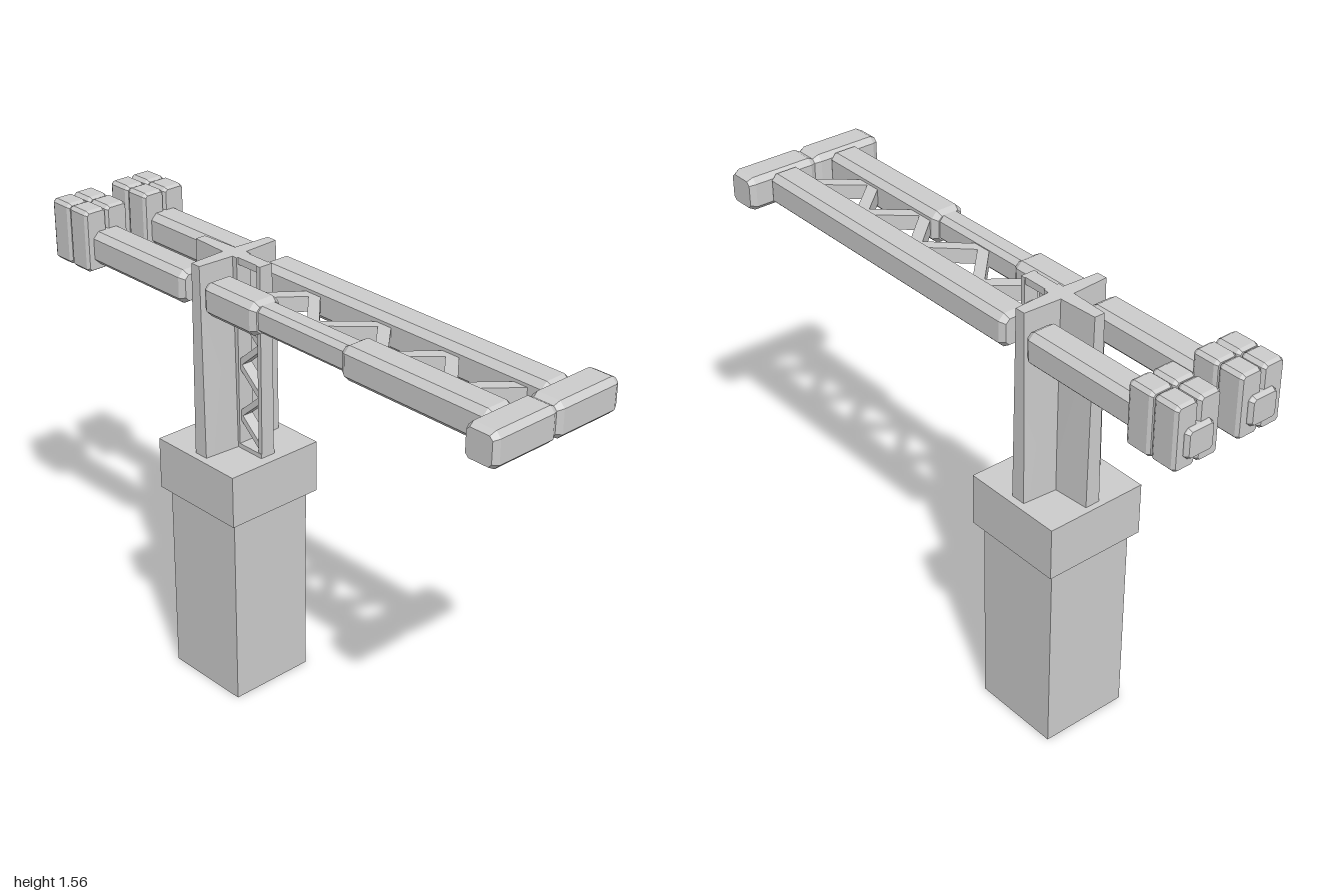
import * as THREE from 'three';

export function createModel() {
  const root = new THREE.Group();
  root.name = 'towerCrane';
  const grey = new THREE.MeshStandardMaterial({ color: 0xcccccc });
  grey.name = 'lightGrey';

  function add(name, geometry, x = 0, y = 0, z = 0) {
    const mesh = new THREE.Mesh(geometry, grey);
    mesh.name = name;
    mesh.position.set(x, y, z);
    root.add(mesh);
    return mesh;
  }

  // plain box from its limits
  function box(name, x0, x1, y0, y1, z0, z1) {
    return add(name, new THREE.BoxGeometry(x1 - x0, y1 - y0, z1 - z0),
      (x0 + x1) / 2, (y0 + y1) / 2, (z0 + z1) / 2);
  }

  // box with every edge chamfered, from its limits; axis is its long direction
  function chamfered(name, x0, x1, y0, y1, z0, z1, c, axis = 'x', endBevel = c) {
    const length = axis === 'x' ? x1 - x0 : z1 - z0;
    const w = (axis === 'x' ? z1 - z0 : x1 - x0) / 2;
    const h = (y1 - y0) / 2;
    const section = new THREE.Shape([
      [-w + c, -h], [w - c, -h], [w, -h + c], [w, h - c],
      [w - c, h], [-w + c, h], [-w, h - c], [-w, -h + c],
    ].map(([a, b]) => new THREE.Vector2(a, b)));
    const geometry = new THREE.ExtrudeGeometry(section, {
      depth: length - 2 * endBevel, bevelEnabled: true, bevelSegments: 1,
      bevelSize: c * 0.6, bevelOffset: -c * 0.6, bevelThickness: endBevel,
    });
    geometry.translate(0, 0, endBevel - length / 2);
    if (axis === 'x') geometry.rotateY(Math.PI / 2);
    return add(name, geometry, (x0 + x1) / 2, (y0 + y1) / 2, (z0 + z1) / 2);
  }

  // slanted bar as an extruded parallelogram; points are [u, v]
  function slab(points, depth) {
    const shape = new THREE.Shape(points.map(([a, b]) => new THREE.Vector2(a, b)));
    const geometry = new THREE.ExtrudeGeometry(shape, { depth, bevelEnabled: false });
    return geometry.translate(0, 0, -depth / 2);
  }

  // pedestal
  box('pedestal', -0.47, -0.155, 0, 0.69, -0.155, 0.155);
  box('pedestalCap', -0.493, -0.13, 0.685, 0.865, -0.18, 0.18);

  // mast: cross of plates, thinner towards the top and the outer edges
  const mastX = -0.312, mastBase = 0.86, mastTop = 1.52;
  const mastH = mastTop - mastBase;
  function taper(geometry, reach) {
    const p = geometry.attributes.position;
    for (let i = 0; i < p.count; i++) {
      const up = p.getY(i) / mastH + 0.5;
      const out = Math.abs(p.getX(i)) / reach;
      p.setZ(i, p.getZ(i) * (1 - 0.3 * up) * (1 - 0.3 * out));
    }
    geometry.computeVertexNormals();
    return geometry;
  }
  const midY = (mastBase + mastTop) / 2;
  const cross = taper(new THREE.BoxGeometry(0.31, mastH, 0.075, 2, 1, 1), 0.155);
  add('mastCrossPlate', cross.rotateY(Math.PI / 2), mastX, midY, 0);
  const rear = new THREE.BoxGeometry(0.16, mastH, 0.075).translate(-0.08, 0, 0);
  add('mastRearPlate', taper(rear, 0.16), mastX, midY, 0);

  // ladder rungs on the front of the rear plate
  for (let i = 0; i < 15; i++) {
    const y = 0.885 + i * 0.033;
    box('ladderRung', -0.435, -0.355, y, y + 0.018, 0.01, 0.034);
  }

  // open lattice on the jib side of the mast
  box('latticeInnerPost', -0.3, -0.268, mastBase, mastTop, -0.028, 0.028);
  box('latticeOuterPost', -0.181, -0.165, mastBase, mastTop, -0.025, 0.025);
  box('latticeTop', -0.285, -0.165, 1.497, mastTop, -0.022, 0.022);
  box('latticeFoot', -0.285, -0.165, mastBase, 0.88, -0.028, 0.028);
  const t = 0.013;
  for (let i = 0; i < 6; i++) {
    const a = 0.89 + i * 0.09, b = a + 0.09;
    const [l, r] = i % 2 ? [a, b] : [b, a];
    add('mastBrace', slab([[-0.275, l - t], [-0.172, r - t],
      [-0.172, r + t], [-0.275, l + t]], 0.04));
  }

  // jib beams; the front one has a slimmer middle section
  const y0 = 1.372, y1 = 1.482;
  chamfered('jibBeamBack', -0.265, 0.9, y0, y1, -0.177, -0.064, 0.02);
  chamfered('jibBeamFrontInner', -0.265, -0.03, y0, y1, 0.057, 0.17, 0.02);
  chamfered('jibBeamFrontSlim', -0.05, 0.355, 1.383, 1.471, 0.073, 0.152, 0.016);
  chamfered('jibBeamFrontOuter', 0.335, 0.9, y0, y1, 0.057, 0.17, 0.02);

  // zigzag bracing lying between the jib beams
  const nodes = [-0.145, -0.025, 0.13, 0.275, 0.41, 0.545, 0.68, 0.81];
  for (let i = 0; i < nodes.length - 1; i++) {
    const [back, front] = i % 2 ? [nodes[i], nodes[i + 1]] : [nodes[i + 1], nodes[i]];
    const w = 0.026;
    const geometry = slab([[back - w, 0.07], [front - w, -0.08],
      [front + w, -0.08], [back + w, 0.07]], 0.05);
    add('jibBrace', geometry.rotateX(-Math.PI / 2), 0, 1.427, 0);
  }

  // crossbar at the jib tip, in two halves
  chamfered('tipCrossbar', 0.885, 1, 1.37, 1.484, -0.255, 0, 0.018, 'z', 0.02);
  chamfered('tipCrossbar', 0.885, 1, 1.37, 1.484, 0, 0.25, 0.018, 'z', 0.02);

  // counter beams with clustered weights and end caps
  for (const z of [-0.122, 0.114]) {
    chamfered('counterBeam', -0.85, -0.358, y0, y1, z - 0.056, z + 0.056, 0.02);
    chamfered('counterEndCap', -1, -0.9, 1.385, 1.48, z - 0.05, z + 0.05, 0.012);
    for (const [x0, x1, grow] of [[-0.984, -0.896, 0], [-0.892, -0.802, 0.003]]) {
      for (const side of [-1, 1]) {
        const zc = z + side * 0.0415;
        chamfered('counterWeight', x0, x1, 1.35, 1.556,
          zc - 0.039 - grow / 2, zc + 0.039 + grow / 2, 0.011);
      }
    }
  }
  return root;
}
